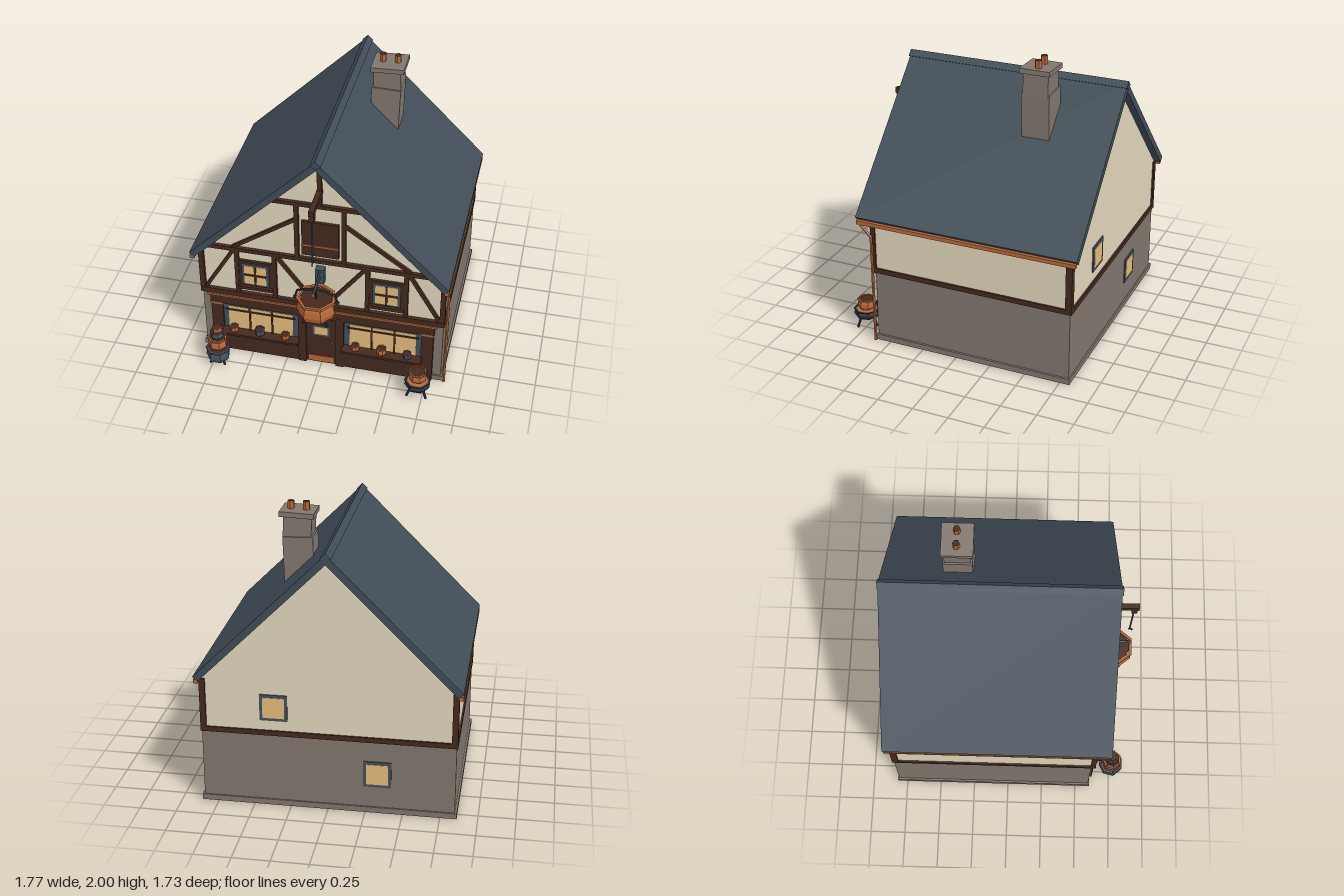
import * as THREE from 'three';

const mat = (name, color) => {
  const m = new THREE.MeshStandardMaterial({ color });
  m.name = name;
  return m;
};

export function createModel() {
  const cream = mat('cream plaster', 0xe3d8bd), stone = mat('grey stone', 0x81776e);
  const wood = mat('dark timber', 0x44291e), slate = mat('roof slate', 0x414d57);
  const copper = mat('copper', 0xb8683a), glass = mat('lit glass', 0xe4bd7c);
  const blue = mat('blue paint', 0x43515e), iron = mat('dark iron', 0x2d343c);
  const model = new THREE.Group();
  model.name = 'timberFramedShop';

  // Faceted mesh
  const add = (name, geo, material, parent = model) => {
    const g = geo.index ? geo.toNonIndexed() : geo;
    g.computeVertexNormals();
    const mesh = new THREE.Mesh(g, material);
    mesh.name = name;
    parent.add(mesh);
    return mesh;
  };
  // Box given by its limits
  const box = (name, m, x0, x1, y0, y1, z0, z1) => {
    const mesh = add(name, new THREE.BoxGeometry(x1 - x0, y1 - y0, z1 - z0), m);
    mesh.position.set((x0 + x1) / 2, (y0 + y1) / 2, (z0 + z1) / 2);
  };
  // Outline in x, y extruded from z0 to z1
  const prism = (name, m, pts, z0, z1) => {
    const shape = new THREE.Shape(pts.map(p => new THREE.Vector2(...p)));
    const g = new THREE.ExtrudeGeometry(shape, { depth: z1 - z0, bevelEnabled: false });
    add(name, g.translate(0, 0, z0), m);
  };
  // Straight timber between two points on the front
  const beam = (name, x0, y0, x1, y1, w, z1 = 0.622) => {
    const mesh = add(name, new THREE.BoxGeometry(Math.hypot(x1 - x0, y1 - y0), w, z1 - 0.585), wood);
    mesh.position.set((x0 + x1) / 2, (y0 + y1) / 2, (0.585 + z1) / 2);
    mesh.rotation.z = Math.atan2(y1 - y0, x1 - x0);
  };
  // Round rod between two points
  const rod = (name, m, a, b, r, parent = model) => {
    const p = new THREE.Vector3(...a), q = new THREE.Vector3(...b), d = q.clone().sub(p);
    const mesh = add(name, new THREE.CylinderGeometry(r, r, d.length(), 6), m, parent);
    mesh.position.copy(p).add(q).multiplyScalar(0.5);
    mesh.quaternion.setFromUnitVectors(new THREE.Vector3(0, 1, 0), d.normalize());
  };
  // Bellied pot: base at y, rim radius r, body height h, optional legs
  const pot = (name, m, x, y, z, r, h, legs = 0, splay = 0.7, fill = wood) => {
    const g = new THREE.Group();
    g.name = name;
    const prof = [[0, 0], [0.55, 0], [0.88, 0.2], [0.98, 0.45], [0.92, 0.7], [0.84, 0.84],
      [1, 0.89], [1, 1], [0.86, 1], [0.84, 0.94]].map(p => new THREE.Vector2(p[0] * r, p[1] * h));
    add('body', new THREE.LatheGeometry(prof, 7).rotateY(Math.PI / 7), m, g);
    const top = new THREE.CircleGeometry(r * 0.86, 7).rotateX(-Math.PI / 2).rotateY(Math.PI / 14);
    add('contents', top, fill, g).position.y = h * 0.95;
    for (let i = 0; legs && i < 3; i++) {
      const a = i * Math.PI * 2 / 3 + Math.PI / 3, s = Math.sin(a), c = Math.cos(a);
      rod('leg', iron, [s * r * 0.55, h * 0.1, c * r * 0.55], [s * r * splay, -legs, c * r * splay], 0.009, g);
    }
    g.position.set(x, y, z);
    model.add(g);
  };

  // Walls, with the floor raised inside a plinth kerb
  box('groundFloor', stone, -0.848, 0.848, 0.03, 0.52, -0.81, 0.595);
  box('plinthFront', stone, -0.862, 0.862, 0, 0.04, 0.575, 0.605);
  box('plinthBack', stone, -0.862, 0.862, 0, 0.04, -0.82, -0.79);
  prism('upperFloor', cream, [[-0.845, 0.52], [0.845, 0.52], [0.845, 0.905], [0, 1.75], [-0.845, 0.905]], -0.81, 0.598);

  // Roof, gutters and plinth sides
  for (const s of [-1, 1]) {
    const pts = [[0, 1.812], [0, 1.747], [s * 0.851, 0.896], [s * 0.8835, 0.9285]];
    prism('roofSlope', slate, s < 0 ? pts : pts.reverse(), -0.86, 0.715);
    box('gutter', copper, s * 0.868 - 0.015, s * 0.868 + 0.015, 0.878, 0.905, -0.85, 0.71);
    box('plinthSide', stone, s * 0.847 - 0.015, s * 0.847 + 0.015, 0, 0.04, -0.82, 0.605);
  }
  prism('ridgeCap', slate, [[-0.036, 1.787], [0, 1.762], [0.036, 1.787], [0, 1.824]], -0.865, 0.722);
  rod('downpipe', copper, [0.872, 0, 0.607], [0.872, 0.8, 0.607], 0.011);
  rod('downpipeElbow', copper, [0.872, 0.795, 0.607], [0.872, 0.885, 0.695], 0.01);

  // Crooked chimney
  const stack = [['chimneyBase', 0.2, 0.38, 0.195, 0.248, 1.59, -0.03], ['chimneyTop', 0.187, 0.16, 0.175, 0.257, 1.845, 0.05],
    ['chimneyCap', 0.229, 0.034, 0.21, 0.259, 1.928, 0.04]];
  for (const [name, w, h, d, x, y, tilt] of stack) {
    const mesh = add(name, new THREE.BoxGeometry(w, h, d), stone);
    mesh.position.set(x, y, -0.353);
    mesh.rotation.z = tilt;
  }
  for (const x of [0.21, 0.312]) {
    rod('chimneyPot', copper, [x, 1.93, -0.357], [x, 1.999, -0.357], 0.024);
    rod('chimneyPotMouth', wood, [x, 1.99, -0.357], [x, 2, -0.357], 0.022);
  }

  // Timber frame
  box('floorBandFront', wood, -0.855, 0.855, 0.515, 0.555, 0.585, 0.625);
  box('floorBandBack', wood, -0.855, 0.855, 0.52, 0.555, -0.822, -0.8);
  beam('tieBeam', -0.85, 0.932, 0.85, 0.932, 0.03);
  beam('collarBeam', -0.34, 1.392, 0.34, 1.392, 0.028);
  beam('kingPost', 0, 1.39, 0, 1.72, 0.03);
  for (const s of [-1, 1]) {
    box('floorBandSide', wood, s * 0.845 - 0.011, s * 0.845 + 0.011, 0.52, 0.555, -0.82, 0.6);
    box('backCornerPost', wood, s * 0.835 - 0.02, s * 0.835 + 0.02, 0.55, 0.9, -0.822, -0.777);
    box('frontCornerPost', wood, s * 0.838 - 0.018, s * 0.838 + 0.018, 0.55, 0.92, 0.588, 0.622);
    beam('gableRafter', 0, 1.728, s * 0.83, 0.898, 0.036);
    beam('loftPost', s * 0.16, 0.94, s * 0.16, 1.39, 0.03);
    beam('gableBrace', s * 0.17, 1.255, s * 0.61, 0.945, 0.024, 0.618);
    beam('outerBrace', s * 0.605, 0.92, s * 0.82, 0.55, 0.024, 0.618);
    beam('innerBrace', s * 0.31, 0.92, s * 0.04, 0.55, 0.024, 0.618);
    for (const x of [0.585, 0.322]) beam('windowPost', s * x, 0.55, s * x, 0.92, 0.03);

    // Upper window
    const wx = s * 0.455;
    box('windowSurround', wood, wx - 0.125, wx + 0.125, 0.605, 0.84, 0.585, 0.615);
    box('windowSill', wood, wx - 0.125, wx + 0.125, 0.6, 0.625, 0.585, 0.635);
    box('windowFrame', blue, wx - 0.096, wx + 0.096, 0.635, 0.822, 0.615, 0.624);
    box('windowGlass', glass, wx - 0.077, wx + 0.077, 0.65, 0.807, 0.62, 0.627);
    box('windowUpright', wood, wx - 0.007, wx + 0.007, 0.65, 0.807, 0.625, 0.633);
    box('windowCrossbar', wood, wx - 0.077, wx + 0.077, 0.722, 0.736, 0.625, 0.633);

    // Shop window
    const sx = s * 0.435;
    box('shopWindowFrame', blue, sx - 0.272, sx + 0.272, 0.2, 0.43, 0.585, 0.61);
    box('shopGlass', glass, sx - 0.232, sx + 0.232, 0.207, 0.404, 0.607, 0.614);
    for (const dx of [-0.077, 0.083]) box('shopMullion', wood, sx + dx - 0.006, sx + dx + 0.006, 0.2, 0.425, 0.612, 0.622);
    box('shopTransom', wood, sx - 0.25, sx + 0.25, 0.368, 0.38, 0.612, 0.621);
    box('stallRiser', wood, sx - 0.28, sx + 0.28, 0, 0.2, 0.585, 0.622);
    box('shopSill', wood, sx - 0.28, sx + 0.28, 0.187, 0.205, 0.585, 0.685);
    box('outerPilaster', wood, s * 0.745 - 0.042, s * 0.745 + 0.042, 0, 0.45, 0.585, 0.624);
    box('pilasterCapital', copper, s * 0.745 - 0.045, s * 0.745 + 0.045, 0.418, 0.434, 0.585, 0.629);
    box('doorPilaster', wood, s * 0.134 - 0.028, s * 0.134 + 0.028, 0, 0.45, 0.585, 0.63);
  }

  // Fascia and cornice
  box('fascia', wood, -0.79, 0.79, 0.428, 0.505, 0.585, 0.628);
  box('cornice', copper, -0.81, 0.81, 0.5, 0.516, 0.585, 0.636);

  // Door
  box('door', wood, -0.108, 0.108, 0, 0.43, 0.585, 0.612);
  box('kickPlate', copper, -0.092, 0.092, 0.012, 0.062, 0.612, 0.618);
  box('doorWindowFrame', blue, -0.06, 0.06, 0.258, 0.354, 0.612, 0.618);
  box('doorGlass', glass, -0.046, 0.046, 0.272, 0.34, 0.614, 0.621);
  add('doorKnob', new THREE.IcosahedronGeometry(0.011, 0), copper).position.set(0.078, 0.21, 0.622);

  // Loft door and hoist
  box('loftDoor', wood, -0.126, 0.126, 0.975, 1.256, 0.585, 0.618);
  box('loftDoorStrap', copper, -0.126, 0.126, 1.053, 1.069, 0.618, 0.625);
  box('hoistBeam', wood, -0.018, 0.018, 1.488, 1.525, 0.59, 0.848);
  box('hoistBlock', wood, -0.018, 0.018, 1.435, 1.49, 0.8, 0.838);
  rod('hoistRope', blue, [0, 1.44, 0.818], [0, 1.095, 0.818], 0.006);
  const hook = add('hoistHook', new THREE.TorusGeometry(0.012, 0.005, 5, 8, 4.4).rotateY(Math.PI / 2), iron);
  hook.position.set(0, 1.083, 0.824);

  // Hanging sign: a copper cauldron on an iron bracket
  box('bracketPlate', blue, -0.03, 0.03, 0.763, 0.882, 0.59, 0.645);
  rod('bracketArm', blue, [0, 0.82, 0.62], [0, 0.82, 0.84], 0.01);
  rod('bracketStay', blue, [0, 0.875, 0.63], [0, 0.822, 0.77], 0.008);
  add('bracketFinial', new THREE.IcosahedronGeometry(0.016, 0), copper).position.set(0, 0.82, 0.838);
  rod('signHanger', iron, [0, 0.82, 0.745], [0, 0.72, 0.745], 0.007);
  pot('signCauldron', copper, 0, 0.55, 0.738, 0.138, 0.178, 0.035);
  const bail = [[-0.148, 0.7], [-0.13, 0.765], [-0.07, 0.785], [0, 0.795], [0.07, 0.785], [0.13, 0.765], [0.148, 0.7]];
  for (let i = 1; i < bail.length; i++) rod('signHandle', iron, [...bail[i - 1], 0.742], [...bail[i], 0.742], 0.008);
  for (const s of [-1, 1]) rod('signLug', iron, [s * 0.12, 0.705, 0.742], [s * 0.157, 0.705, 0.742], 0.011);

  // Stack of cauldrons by the right pilaster
  pot('stackCauldronLarge', blue, -0.713, 0.022, 0.76, 0.087, 0.115, 0.022);
  pot('stackCauldronMedium', copper, -0.712, 0.133, 0.76, 0.07, 0.1);
  pot('stackCauldronSmall', blue, -0.712, 0.23, 0.76, 0.05, 0.06);
  pot('stackCauldronTiny', copper, -0.708, 0.286, 0.76, 0.038, 0.044);

  // Tripod cauldron with a copper pot by the left pilaster
  pot('tripodCauldron', iron, 0.712, 0.062, 0.76, 0.092, 0.072, 0.062, 0.85, copper);
  pot('tripodCopperPot', copper, 0.712, 0.128, 0.76, 0.064, 0.08);

  // Small pots on the shop sills
  const wares = [[-0.62, copper, 0.031], [-0.435, blue, 0.036], [-0.25, copper, 0.031],
    [0.25, copper, 0.031], [0.435, copper, 0.036], [0.615, blue, 0.031]];
  for (const [x, m, r] of wares) pot('sillPot', m, x, 0.205, 0.65, r, r * 1.6);

  // Back windows
  for (const [x, y] of [[0.36, 0.72], [-0.33, 0.285]]) {
    box('backWindowFrame', blue, x - 0.093, x + 0.093, y - 0.093, y + 0.093, -0.818, -0.809);
    box('backWindowGlass', glass, x - 0.073, x + 0.073, y - 0.073, y + 0.073, -0.821, -0.812);
  }
  return model;
}
